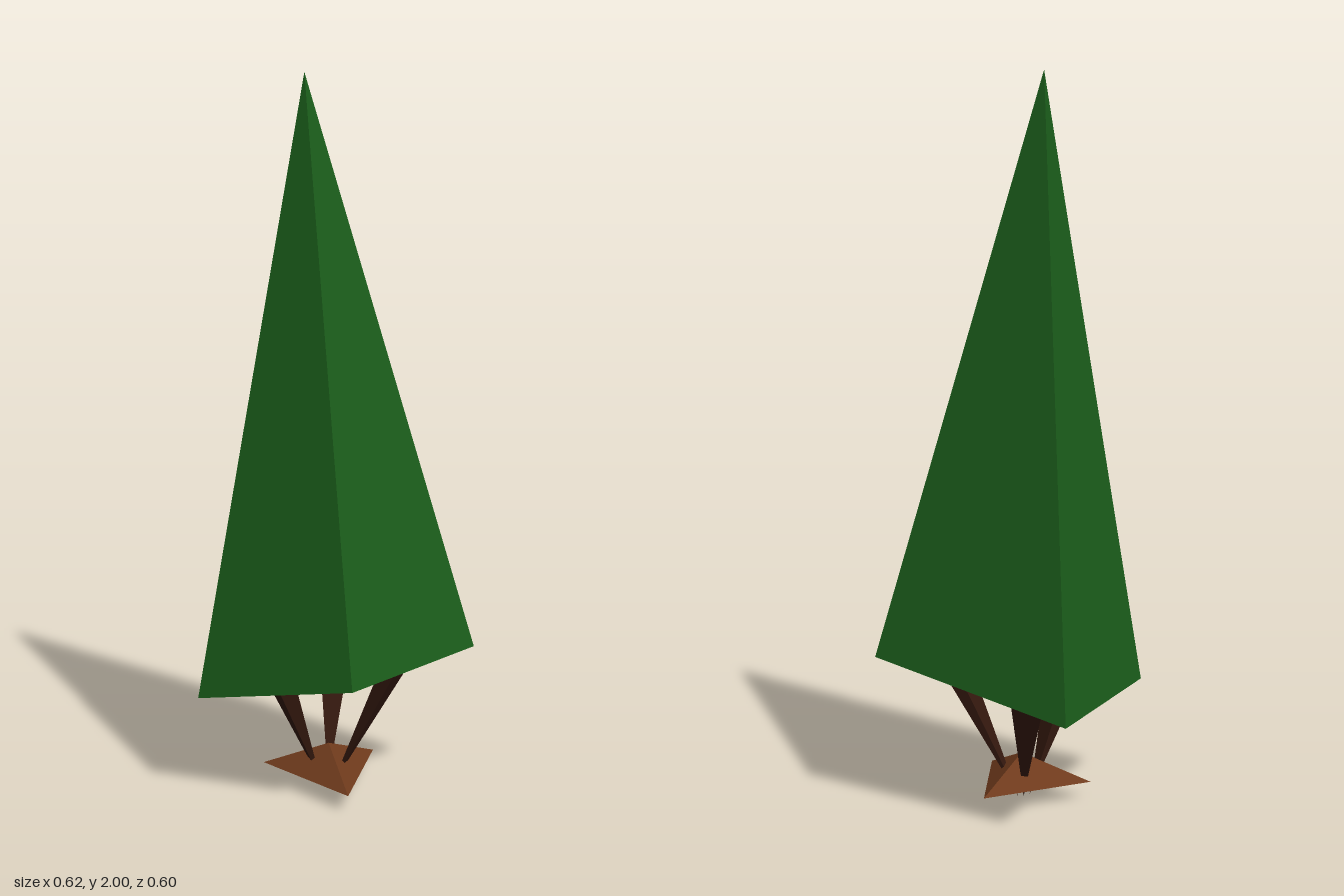
import * as THREE from 'three';

// Closed faceted pyramid; ring runs counter-clockwise as seen from the apex
function pyramid(name, apex, ring, color) {
  const points = [];
  ring.forEach((p, i) => points.push(apex, p, ring[(i + 1) % ring.length]));
  for (let i = 1; i < ring.length - 1; i++) points.push(ring[0], ring[i + 1], ring[i]);
  const geometry = new THREE.BufferGeometry();
  geometry.setAttribute('position', new THREE.Float32BufferAttribute(points.flat(), 3));
  geometry.computeVertexNormals();
  const mesh = new THREE.Mesh(geometry, new THREE.MeshStandardMaterial({ color, flatShading: true }));
  mesh.name = name;
  return mesh;
}

// Flattened stem that widens from a pointed tip up to its top centre
function stem(name, tip, top, halfWidth, halfDepth) {
  const length = Math.hypot(top[0], top[2]);
  const rx = top[0] / length, rz = top[2] / length;
  const ring = [[-1, -1], [-1, 1], [1, 1], [1, -1]].map(([r, t]) => [
    top[0] + r * halfDepth * rx + t * halfWidth * rz,
    top[1],
    top[2] + r * halfDepth * rz - t * halfWidth * rx,
  ]);
  return pyramid(name, tip, ring, 0x35190f);
}

export function createModel() {
  const tree = new THREE.Group();
  tree.name = 'tree';

  // Tall canopy with an uneven, tilted four-cornered underside
  tree.add(pyramid('canopy', [-0.05, 2, 0.05], [
    [-0.23, 0.3, 0.3], [0.22, 0.39, 0.18], [0.305, 0.42, -0.255], [-0.31, 0.32, -0.3],
  ], 0x1b5e1b));

  // Three stems fanning out from the ground into the canopy
  tree.add(
    stem('rightStem', [0, 0, 0], [0.2, 0.42, -0.055], 0.07, 0.025),
    stem('frontStem', [-0.03, 0.01, 0.01], [-0.08, 0.38, 0.15], 0.06, 0.03),
    stem('backStem', [-0.025, 0.01, -0.015], [-0.13, 0.38, -0.18], 0.05, 0.03),
  );
  tree.getObjectByName('rightStem').name = 'leftStem';

  // Low three-cornered mound of soil
  tree.add(pyramid('soilMound', [-0.01, 0.13, 0], [
    [-0.185, 0.05, 0.08], [0.15, 0.05, 0.11], [0, 0.05, -0.19],
  ], 0x6e3a1c));

  return tree;
}
